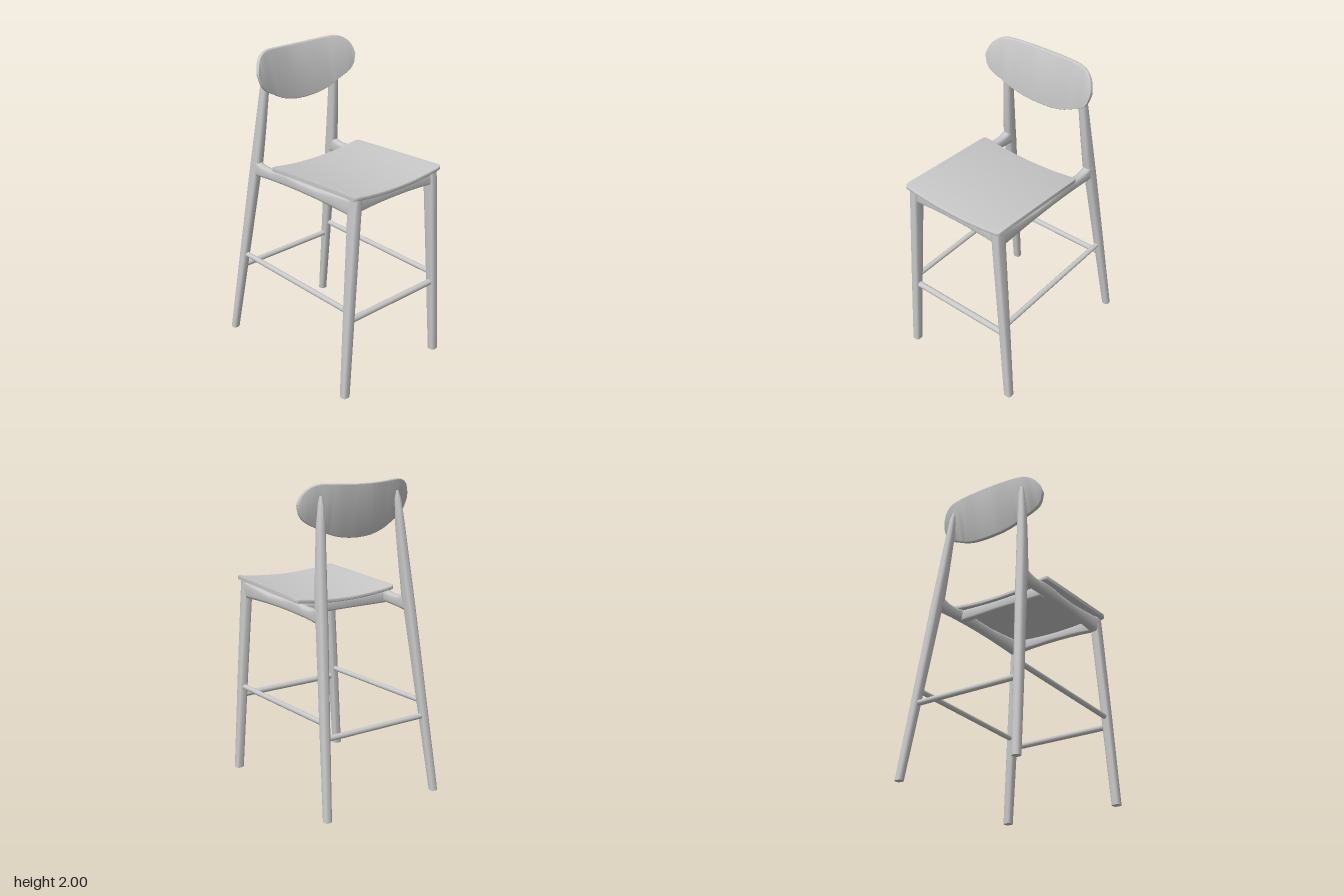
import * as THREE from 'three';
import { toCreasedNormals } from 'three/addons/utils/BufferGeometryUtils.js';

// Outline of a rectangle with rounded corners, counter-clockwise, half sizes a and b
function roundedRing(a, b, radius) {
  const r = Math.min(radius, a * 0.98, b * 0.98);
  const ring = [];
  [[1, 1], [-1, 1], [-1, -1], [1, -1]].forEach(([su, sv], corner) => {
    for (let k = 0; k <= 3; k++) {
      const t = (corner + k / 3) * Math.PI / 2;
      ring.push([su * (a - r) + r * Math.cos(t), sv * (b - r) + r * Math.sin(t)]);
    }
  });
  return ring;
}

// Solid lofted through sections {c: [x, y, z], a, b}, which run along +axis.
// Section directions (a, b): axis x -> (y, z), axis y -> (z, x), axis z -> (x, y)
function loft(axis, sections, radius, warp) {
  const u = (axis + 1) % 3, v = (axis + 2) % 3;
  const pos = [], index = [], n = 16;
  const add = (p) => {
    if (warp) warp(p);
    pos.push(...p);
  };
  for (const { c, a, b } of sections) {
    for (const [du, dv] of roundedRing(a, b, radius)) {
      const p = [...c];
      p[u] += du;
      p[v] += dv;
      add(p);
    }
  }
  for (let s = 0; s < sections.length - 1; s++) {
    for (let i = 0; i < n; i++) {
      const p = s * n + i, q = s * n + (i + 1) % n;
      index.push(p, q, q + n, p, q + n, p + n);
    }
  }
  const last = (sections.length - 1) * n, mid = sections.length * n;
  add([...sections[0].c]);
  add([...sections[sections.length - 1].c]);
  for (let i = 0; i < n; i++) {
    const j = (i + 1) % n;
    index.push(mid, j, i, mid + 1, last + i, last + j);
  }
  const g = new THREE.BufferGeometry();
  g.setAttribute('position', new THREE.Float32BufferAttribute(pos, 3));
  g.setIndex(index);
  return toCreasedNormals(g, 0.65);
}

// Repeat a half list of sections [x, ...] on the -x side
const mirrored = (half) => [
  ...half.slice().reverse().filter((s) => s[0] > 0).map(([x, ...rest]) => [-x, ...rest]),
  ...half,
];

// Round bar between two points
function bar(p, q, radius) {
  const from = new THREE.Vector3(...p), to = new THREE.Vector3(...q);
  const dir = to.clone().sub(from);
  const g = new THREE.CylinderGeometry(radius, radius, dir.length(), 20);
  g.applyQuaternion(new THREE.Quaternion().setFromUnitVectors(
    new THREE.Vector3(0, 1, 0), dir.normalize()));
  const m = from.add(to).multiplyScalar(0.5);
  return g.translate(m.x, m.y, m.z);
}

export function createModel() {
  const model = new THREE.Group();
  model.name = 'barChair';
  const grey = new THREE.MeshStandardMaterial({ color: 0xc8c8c8 });
  grey.name = 'light grey';
  const add = (name, geometry) => {
    const mesh = new THREE.Mesh(geometry, grey);
    mesh.name = name;
    model.add(mesh);
  };

  for (const [side, s] of [['left', 1], ['right', -1]]) {
    // Front leg: [y, x, z front, z back, half width]
    const front = [
      [0, 0.408, 0.565, 0.513, 0.027],
      [0.6, 0.369, 0.565, 0.5, 0.028],
      [1.2, 0.328, 0.565, 0.486, 0.028],
      [1.3, 0.321, 0.562, 0.486, 0.028],
    ];
    // Back leg, leaning and tapering to a slim tip behind the backrest
    const back = [
      [0.028, 0.41, -0.526, -0.574, 0.025],
      [0.6, 0.37, -0.433, -0.494, 0.027],
      [1.2, 0.328, -0.336, -0.411, 0.028],
      [1.29, 0.322, -0.317, -0.397, 0.028],
      [1.5, 0.307, -0.297, -0.367, 0.027],
      [1.74, 0.29, -0.277, -0.335, 0.024],
      [1.88, 0.28, -0.276, -0.317, 0.018],
      [1.93, 0.277, -0.28, -0.3, 0.008],
    ];
    const legSections = (rows) => rows.map(([y, x, z1, z2, w]) => (
      { c: [s * x, y, (z1 + z2) / 2], a: (z1 - z2) / 2, b: w }));
    add(side + 'FrontLeg', loft(1, legSections(front), 0.016));
    add(side + 'BackLeg', loft(1, legSections(back), 0.018));

    // Side rail with a scooped top: [z, bottom, top]
    const rail = [
      [-0.36, 1.187, 1.3], [-0.335, 1.188, 1.29], [-0.31, 1.191, 1.277],
      [-0.27, 1.195, 1.269], [-0.2, 1.2, 1.268], [-0.14, 1.202, 1.28],
      [-0.05, 1.205, 1.283], [0.05, 1.206, 1.274], [0.2, 1.204, 1.272],
      [0.35, 1.198, 1.285], [0.51, 1.188, 1.302],
    ];
    add(side + 'SideRail', loft(2, rail.map(([z, lo, hi]) => (
      { c: [s * 0.325, (lo + hi) / 2, z], a: 0.027, b: (hi - lo) / 2 })), 0.02));

    add(side + 'Stretcher', bar([s * 0.37, 0.58, 0.53], [s * 0.37, 0.612, -0.46], 0.017));
  }

  // Front and back foot rails
  add('frontStretcher', bar([-0.372, 0.52, 0.535], [0.372, 0.52, 0.535], 0.02));
  add('backStretcher', bar([-0.374, 0.52, -0.476], [0.374, 0.52, -0.476], 0.018));

  // Aprons under the seat, hollowed toward the middle: [x, bottom, top]
  const apron = (rows, z, depth) => loft(0, mirrored(rows).map(([x, lo, hi]) => (
    { c: [x, (lo + hi) / 2, z], a: (hi - lo) / 2, b: depth })), 0.012);
  add('frontApron', apron(
    [[0, 1.228, 1.284], [0.1, 1.227, 1.286], [0.2, 1.223, 1.292], [0.31, 1.214, 1.302]],
    0.528, 0.022));
  add('backApron', apron([[0, 1.198, 1.258], [0.16, 1.197, 1.262], [0.31, 1.196, 1.27]],
    -0.12, 0.025));

  // Seat: thin plate dished across its width and sloping down to the back
  const seat = [];
  for (let i = 0; i <= 8; i++) seat.push([i * 0.043, 0.37]);
  seat.push([0.358, 0.367], [0.366, 0.36], [0.37, 0.349]);
  add('seat', loft(0, mirrored(seat).map(([x, half]) => (
    { c: [x, 1.3 - 0.0125, 0.205], a: 0.0125, b: half })), 0.006, (p) => {
    p[1] += 0.03 * (p[0] / 0.37) ** 2 + 0.034 * (p[2] - 0.44);
  }));

  // Backrest: half-oval board, [x, bottom, top], bowed around the sitter and tilted
  const rest = [
    [0, 1.662, 1.991], [0.05, 1.664, 1.991], [0.1, 1.669, 1.993], [0.15, 1.68, 1.995],
    [0.2, 1.697, 1.998], [0.24, 1.716, 2], [0.28, 1.738, 2], [0.31, 1.752, 1.995],
    [0.34, 1.77, 1.982], [0.365, 1.791, 1.962], [0.383, 1.82, 1.935],
    [0.393, 1.852, 1.904], [0.397, 1.868, 1.888],
  ];
  add('backrest', loft(0, mirrored(rest).map(([x, lo, hi]) => (
    { c: [x, (lo + hi) / 2, 0], a: (hi - lo) / 2, b: 0.0125 })), 0.006, (p) => {
    p[2] += -0.2575 - 0.225 * (p[1] - 1.662) + 0.5 * p[0] ** 2;
  }));

  return model;
}
